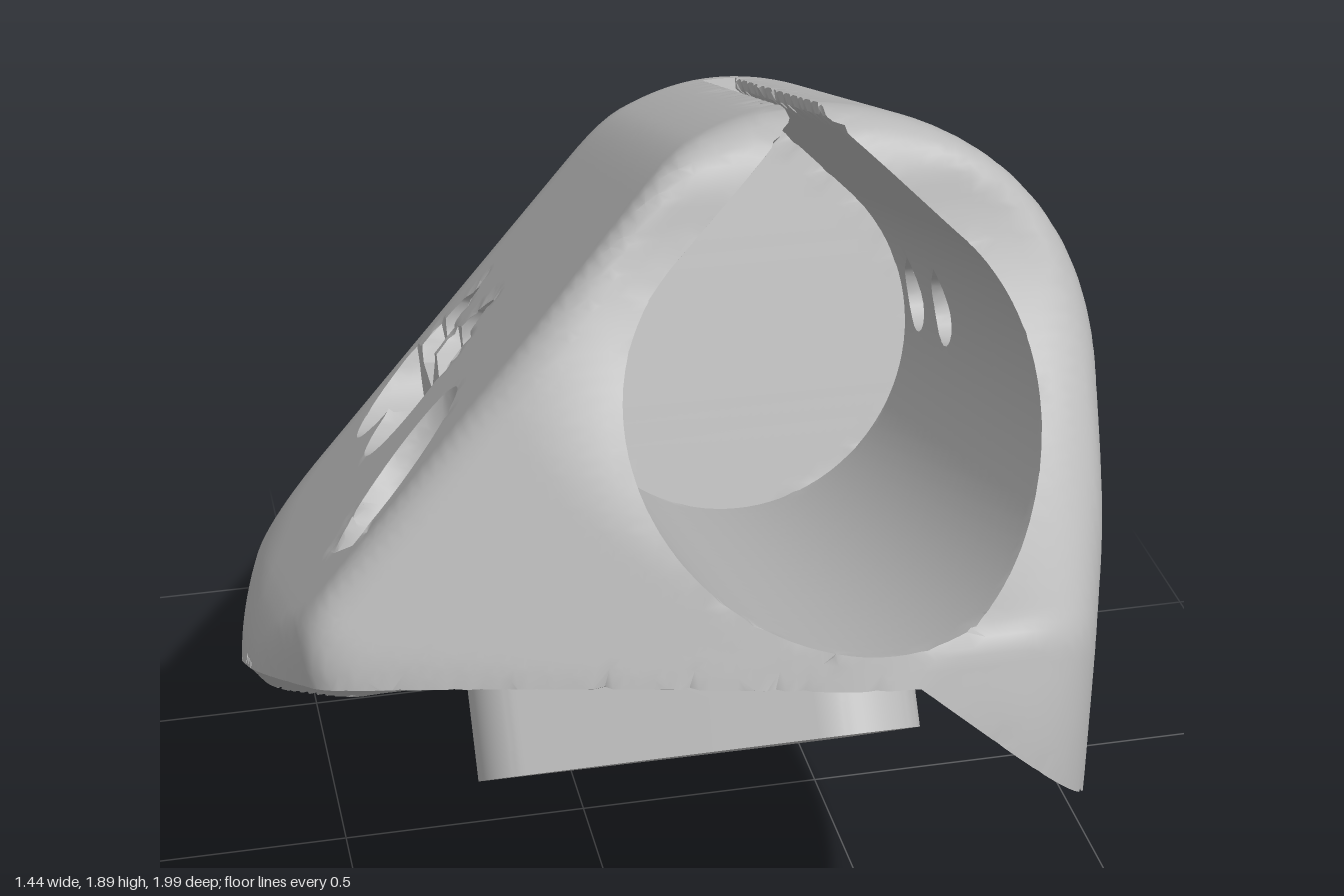
import * as THREE from 'three';
import { toCreasedNormals } from 'three/addons/utils/BufferGeometryUtils.js';

const { hypot, abs, max, min } = Math;

// Rounded intersection of two solids (negative = inside)
const blend = (a, b, k) => {
  const t = max(k - abs(a - b), 0) / k;
  return max(a, b) + t * t * k * 0.25;
};
const blendAll = (list, k) => list.reduce((a, b) => blend(a, b, k));

// Circle with a 45 degree pointed roof
const teardrop = (u, v, r) => (v > abs(u) ? (abs(u) + v) * Math.SQRT1_2 : hypot(u, v)) - r;

// Cross-section of the clamp: round crown, upright right side, slanted left side
function crown(u, v) {
  if (u >= 0) return (v > 0 ? hypot(u, v) : u) - 0.47;
  const slant = -0.74 * u + 0.673 * v;
  const round = (-0.673 * u - 0.74 * v > 0 ? slant : hypot(u, v)) - 0.47;
  return blend(round, slant - 0.447, 0.02);
}

// Outer block: crown section, tapered back, pointed front, cupped underside
function block(x, y, z, u, v, q) {
  const section = blendAll([
    crown(u, v),
    -x - 0.72,
    0.983 * x - 0.131 * y - 0.131 * z - 0.615,
  ], 0.08);
  const backCorners = blendAll([
    -0.966 * x - 0.258 * z - 0.799,
    -0.707 * x - 0.707 * z - 1.025,
    -0.42 * x + 0.33 * y - 0.845 * z - 1.055,
    0.8 * x - 0.06 * y - 0.597 * z - 0.815,
  ], 0.08);
  const back = (-z - 1.012 + 0.245 * y) * 0.971;
  const front = blendAll([
    -0.467 * x + 0.884 * z - 0.793,
    -0.94 * x + 0.347 * z - 0.78,
    z - 1.0,
    0.291 * y + 0.957 * z - 1.28,
    -0.435 * x + 0.533 * y + 0.728 * z - 1.283,
  ], 0.04);
  const frontRight = 0.937 * x + 0.348 * z - 0.828;
  const scoop = blend(0.67 - hypot(y - 2.0, z - 1.0), 0.87 * y + 0.49 * z - 1.795, 0.05);
  const sag = 0.47 * max(0, x - 0.25) * max(0, min(1 + 0.55 * z, 1 + 1.1 * z));
  const underside = 0.263 - 0.094 * z - 0.134 * z * z - sag - q;
  const sides = blend(blend(section, backCorners, 0.16), back, 0.04);
  const nose = blend(blend(front, scoop, 0.04), frontRight, 0.14);
  return max(blend(sides, nose, 0.05), underside);
}

const CROSS_BOLTS = [[1.335, -0.075], [1.26, -0.275]]; // y, z
const BASE_SCREWS = [[-0.45, 0.986, 0.4], [-0.35, -0.302, 0.38]]; // x, along base, seat height

// Whole clamp body with every cut-out
function body(x, y, z) {
  // u, v, s: across, above and along the tilted bore; q, t: above and along the base
  const u = x - 0.245 + 0.055 * z;
  const v = 0.937 * (y - 1.32) - 0.3487 * z;
  const s = 0.3487 * (y - 1.32) + 0.937 * z;
  const q = (y - 0.481 - 0.745 * z) * 0.802;
  const t = 0.597 * y + 0.802 * z;
  let d = block(x, y, z, u, v, q);
  const cut = (hole) => { d = max(d, -hole); };

  // blind bore and clamping slit
  cut(max(teardrop(u, v, 0.34), -0.39 - s));
  cut(max(abs(u) - 0.031, -v, -0.39 - s));

  // cross bolts: through hole, head seat, hex pocket and access recess
  for (const [cy, cz] of CROSS_BOLTS) {
    const dy = y - cy, dz = z - cz - 0.055 * (x - 0.7);
    cut(teardrop(dz, dy, 0.062));
    cut(max(hypot(dy, dz) - 0.118, 0.66 - x));
    cut(max(abs(dz) * 0.866 + abs(dy) * 0.5 - 0.09, abs(dy) - 0.09, x + 0.27));
    cut(max(hypot(dy + 0.07, dz) - 0.12, x + 0.315));
  }

  // base screws: narrow hole with a wide seat above
  for (const [cx, ct, seat] of BASE_SCREWS) {
    const r = hypot(x - cx, t - ct);
    cut(r - 0.055);
    cut(max(r - 0.115, seat - q));
  }
  return d;
}

// Skins a solid: one vertex per surface cell, pulled onto its local tangent planes
function skin(solid, lo, hi, step) {
  const n = lo.map((l, i) => Math.ceil((hi[i] - l) / step) + 1);
  const stride = [1, n[0], n[0] * n[1]];
  const at = (p) => p[0] + p[1] * stride[1] + p[2] * stride[2];
  const pos = (p) => p.map((c, i) => lo[i] + c * step);
  const field = new Float32Array(n[0] * n[1] * n[2]);
  const each = (from, visit) => {
    for (let k = from; k < n[2] - 1; k++)
      for (let j = from; j < n[1] - 1; j++)
        for (let i = from; i < n[0] - 1; i++) visit([i, j, k]);
  };
  for (let k = 0, m = 0; k < n[2]; k++)
    for (let j = 0; j < n[1]; j++)
      for (let i = 0; i < n[0]; i++) field[m++] = solid(...pos([i, j, k]));

  // surface crossing on a grid edge, by bisection
  const crossing = (p, a, startsInside) => {
    const h = pos(p);
    let near = h[a], far = h[a] + step;
    for (let it = 0; it < 8; it++) {
      h[a] = (near + far) / 2;
      if ((solid(...h) < 0) === startsInside) near = h[a]; else far = h[a];
    }
    return h;
  };

  const slope = (p) => {
    const e = 0.0002;
    const g = [0, 1, 2].map((a) => {
      const f = [...p], b = [...p];
      f[a] += e; b[a] -= e;
      return solid(...f) - solid(...b);
    });
    const l = hypot(...g) || 1;
    return g.map((c) => c / l);
  };

  const verts = [], index = [], cellVertex = new Int32Array(field.length).fill(-1);
  each(0, (cell) => {
    const id = at(cell), hits = [];
    for (let a = 0; a < 3; a++) {
      const b = (a + 1) % 3, c = (a + 2) % 3;
      for (let w = 0; w < 4; w++) {
        const p = [...cell];
        p[b] += w & 1; p[c] += w >> 1;
        const inside = field[at(p)] < 0;
        if (inside !== (field[at(p) + stride[a]] < 0)) hits.push(crossing(p, a, inside));
      }
    }
    if (!hits.length) return;
    const normals = hits.map(slope), base = pos(cell);
    const v = [0, 1, 2].map((a) => hits.reduce((sum, h) => sum + h[a], 0) / hits.length);
    for (let it = 0; it < 30; it++) {
      const move = [0, 0, 0];
      hits.forEach((h, m) => {
        const g = normals[m];
        const off = g[0] * (h[0] - v[0]) + g[1] * (h[1] - v[1]) + g[2] * (h[2] - v[2]);
        for (let a = 0; a < 3; a++) move[a] += (g[a] * off) / hits.length;
      });
      for (let a = 0; a < 3; a++) v[a] = min(max(v[a] + move[a], base[a]), base[a] + step);
    }
    cellVertex[id] = verts.length / 3;
    verts.push(...v);
  });

  each(1, (p) => {
    const id = at(p);
    for (let a = 0; a < 3; a++) {
      const inside = field[id] < 0;
      if (inside === (field[id + stride[a]] < 0)) continue;
      const b = stride[(a + 1) % 3], c = stride[(a + 2) % 3];
      const quad = [id - b - c, id - c, id, id - b].map((m) => cellVertex[m]);
      if (!inside) quad.reverse();
      index.push(quad[0], quad[1], quad[2], quad[0], quad[2], quad[3]);
    }
  });

  const geometry = new THREE.BufferGeometry();
  geometry.setAttribute('position', new THREE.Float32BufferAttribute(verts, 3));
  geometry.setIndex(index);
  return toCreasedNormals(geometry, 0.6);
}

// Rounded three-cornered boss under the base
function bossGeometry() {
  const upper = 2.018, lower = 4.24;
  const shape = new THREE.Shape();
  shape.absarc(-0.17, 0.06, 0.13, upper, lower);
  shape.absarc(0.33, -0.195, 0.15, lower, Math.PI * 2);
  shape.absarc(0.33, 0.3, 0.15, 0, upper);
  shape.closePath();
  const extruded = new THREE.ExtrudeGeometry(shape, { depth: 0.28, bevelEnabled: false, curveSegments: 16 });
  return toCreasedNormals(extruded, 0.6);
}

export function createModel() {
  const group = new THREE.Group();
  group.name = 'clampMount';
  const grey = new THREE.MeshStandardMaterial({ color: 0xbababa });
  grey.name = 'grey plastic';

  const clamp = new THREE.Mesh(skin(body, [-0.77, -0.05, -1.05], [0.79, 2.0, 1.05], 0.0203), grey);
  clamp.name = 'clampBody';

  const boss = new THREE.Mesh(bossGeometry(), grey);
  boss.name = 'baseBoss';
  boss.position.set(0, 0.706, -0.167);
  boss.rotation.x = 0.931;

  group.add(clamp, boss);
  return group;
}
